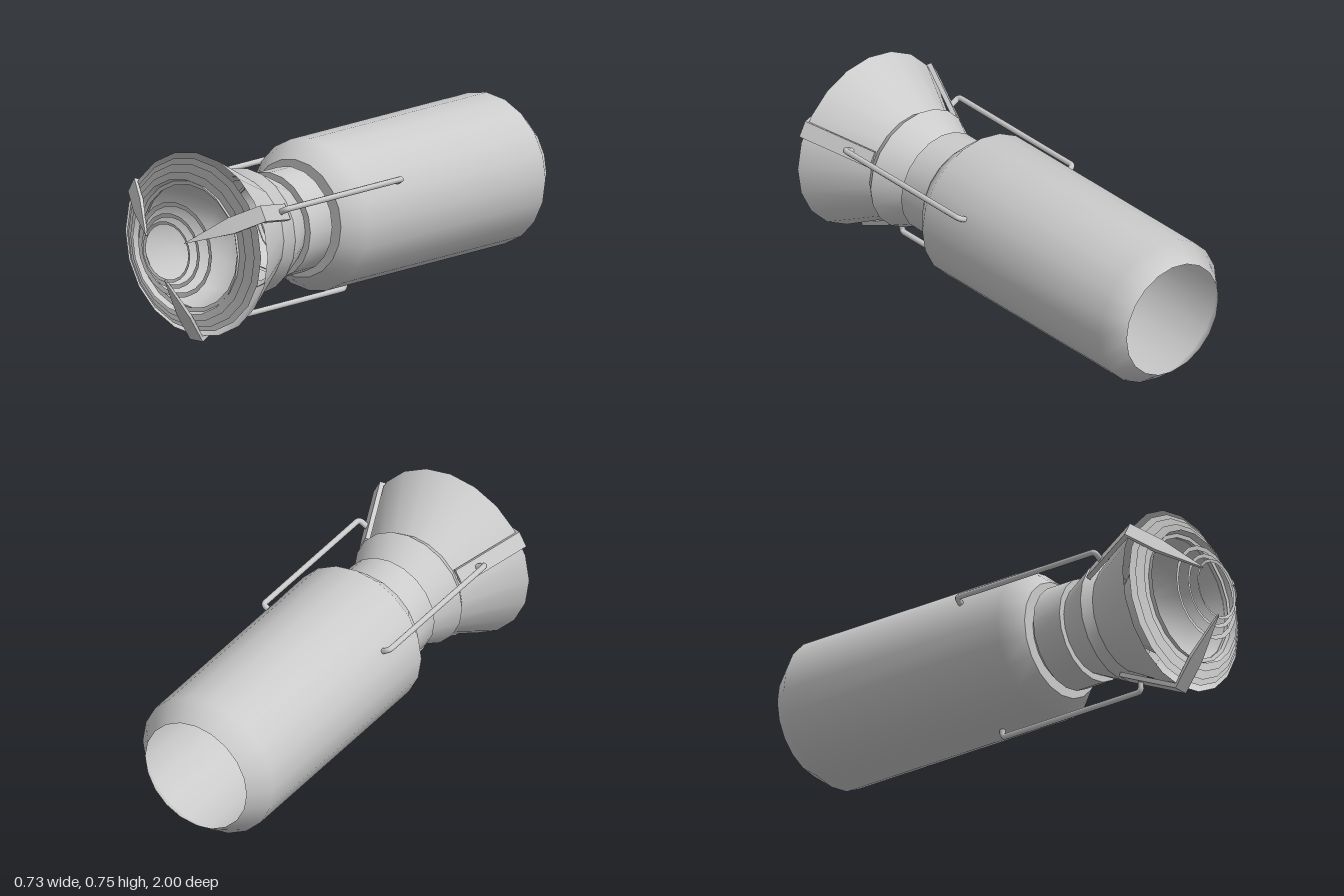
import * as THREE from 'three';
import { toCreasedNormals } from 'three/addons/utils/BufferGeometryUtils.js';

const SIDES = 20;
const material = new THREE.MeshStandardMaterial({ color: 0xcccccc, side: THREE.DoubleSide });

// Surface of revolution about z from [radius, z] pairs
function turned(name, profile, creased = true) {
  let geo = new THREE.LatheGeometry(profile.map(([r, z]) => new THREE.Vector2(r, z)), SIDES);
  geo.rotateX(Math.PI / 2);
  if (creased) geo = toCreasedNormals(geo, 0.5);
  const mesh = new THREE.Mesh(geo, material);
  mesh.name = name;
  return mesh;
}

// Bent strap from sections [outer radius, outer z, inner radius, inner z, half width]
function strapGeometry(sections) {
  const pos = [], idx = [];
  for (const [ro, zo, ri, zi, w] of sections) {
    pos.push(ro, -w, zo, ro, w, zo, ri, w, zi, ri, -w, zi);
  }
  const last = (sections.length - 1) * 4;
  for (let i = 0; i < last; i += 4) {
    for (let k = 0; k < 4; k++) {
      const a = i + k, b = i + (k + 1) % 4;
      idx.push(a, b, b + 4, a, b + 4, a + 4);
    }
  }
  idx.push(0, 3, 2, 0, 2, 1, last, last + 1, last + 2, last, last + 2, last + 3);
  let geo = new THREE.BufferGeometry();
  geo.setAttribute('position', new THREE.Float32BufferAttribute(pos, 3));
  geo.setIndex(idx);
  geo = geo.toNonIndexed();
  geo.computeVertexNormals();
  return geo;
}

// Straight rod with both ends bent in towards the body
function rodGeometry() {
  const path = new THREE.CurvePath();
  const p = [[0.286, -0.07], [0.315, -0.07], [0.333, -0.052], [0.333, 0.595], [0.315, 0.613], [0.286, 0.613]]
    .map(([r, z]) => new THREE.Vector3(r, 0, z));
  const corner = (z) => new THREE.Vector3(0.333, 0, z);
  path.add(new THREE.LineCurve3(p[0], p[1]));
  path.add(new THREE.QuadraticBezierCurve3(p[1], corner(-0.07), p[2]));
  path.add(new THREE.LineCurve3(p[2], p[3]));
  path.add(new THREE.QuadraticBezierCurve3(p[3], corner(0.613), p[4]));
  path.add(new THREE.LineCurve3(p[4], p[5]));
  return new THREE.TubeGeometry(path, 120, 0.012, 8);
}

export function createModel() {
  const model = new THREE.Group();
  model.name = 'device';
  const core = new THREE.Group();
  core.name = 'core';
  core.position.y = 0.388;
  model.add(core);

  // Main barrel, open at the back
  core.add(turned('barrel', [[0.235, -1], [0.303, -0.915], [0.303, 0.14], [0.235, 0.222]], false));
  core.add(turned('barrelFront', [[0.235, 0.222], [0.17, 0.222]]));

  // Neck, collar and flared joint
  core.add(turned('neck', [[0.183, 0.2], [0.183, 0.4]]));
  core.add(turned('collar', [[0.18, 0.245], [0.21, 0.245], [0.21, 0.375], [0.18, 0.375]]));
  core.add(turned('flare', [[0.183, 0.375], [0.25, 0.51], [0.222, 0.55]]));

  // Large outer cone and the smooth bowl inside it
  core.add(turned('cone', [[0.2, 0.505], [0.366, 0.81]]));
  core.add(turned('bowl', [[0, 0.56], [0.12, 0.59], [0.2, 0.7], [0.27, 0.878]], false));

  // Stepped plates at the cone mouth: [outer radius, inner radius, z]
  const plates = [[0.345, 0.27, 0.824], [0.325, 0.25, 0.84], [0.297, 0.245, 0.86]];
  plates.forEach(([ro, ri, z]) => core.add(turned('mouthPlate', [[ri, z - 0.008], [ro, z]])));

  // Free rings in front
  const rings = [[0.19, 0.172, 0.937], [0.15, 0.134, 0.963], [0.122, 0.11, 0.988]];
  rings.forEach(([ro, ri, z]) => core.add(turned('frontRing', [[ri, z - 0.003], [ro, z]])));

  // Three claws and three side rods
  const claw = strapGeometry([
    [0.255, 0.53, 0.238, 0.538, 0.033],
    [0.385, 0.81, 0.364, 0.81, 0.033],
    [0.275, 0.888, 0.266, 0.876, 0.033],
    [0.112, 1.0, 0.11, 0.99, 0.001],
  ]);
  const rod = rodGeometry();
  const cap = new THREE.SphereGeometry(0.012, 8, 6);
  [-90, 27, 151].forEach((deg) => {
    const arm = new THREE.Group();
    arm.name = 'clawAndRod';
    arm.rotation.z = THREE.MathUtils.degToRad(deg);
    const add = (name, geo) => {
      const mesh = new THREE.Mesh(geo, material);
      mesh.name = name;
      arm.add(mesh);
      return mesh;
    };
    add('claw', claw);
    add('sideRod', rod);
    for (const z of [-0.07, 0.613]) add('rodEnd', cap).position.set(0.286, 0, z);
    core.add(arm);
  });

  return model;
}
